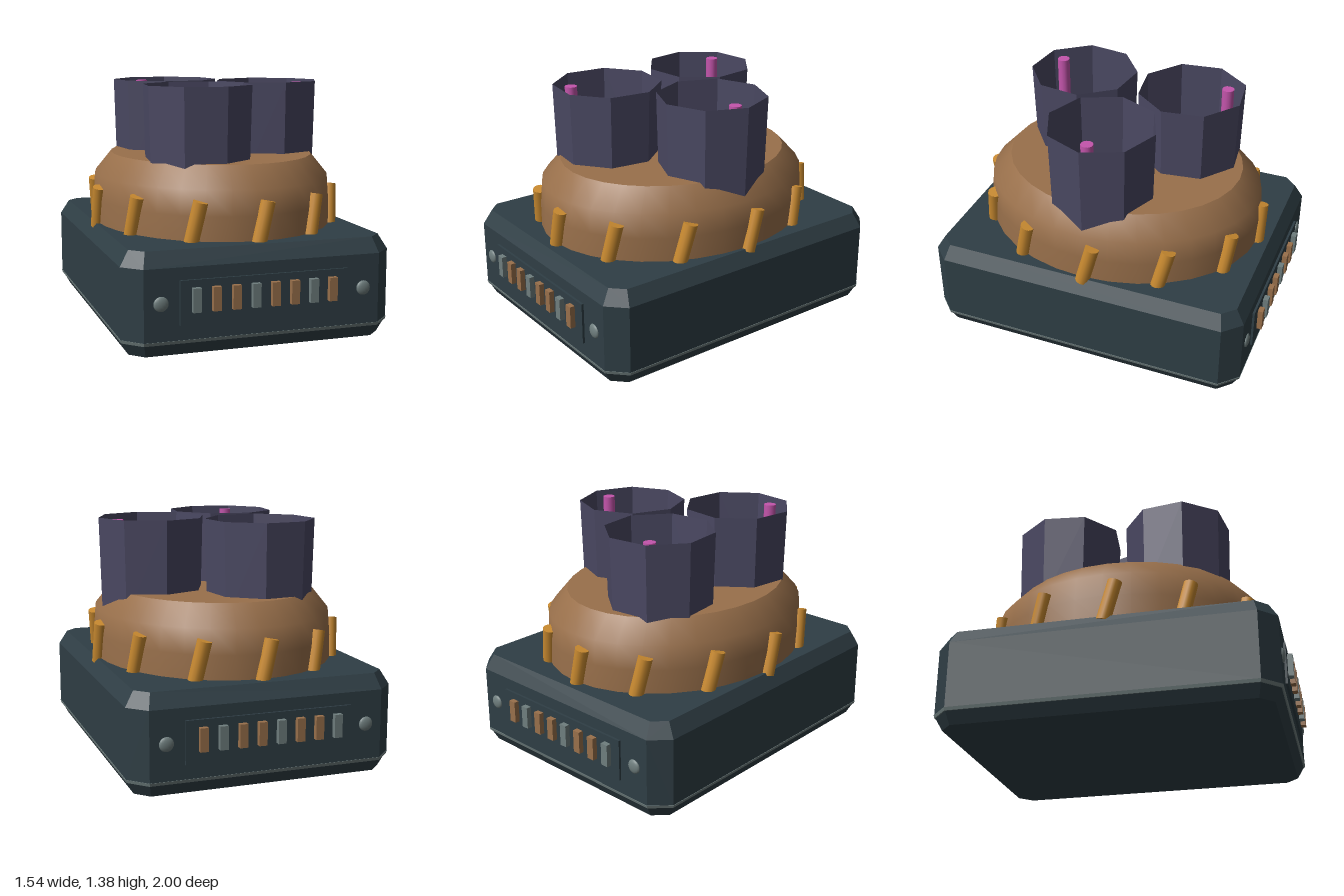
import * as THREE from 'three';
import { ConvexGeometry } from 'three/addons/geometries/ConvexGeometry.js';

const mat = (name, color, opts = {}) => {
  const m = new THREE.MeshStandardMaterial({ color, ...opts });
  m.name = name;
  return m;
};

// Rectangle with cut corners at height y, shrunk by inset
function cutRect(y, inset) {
  const hx = 0.767 - inset, hz = 0.957 - inset, c = 0.1 - inset * 0.586;
  const pts = [];
  for (const sx of [-1, 1]) for (const sz of [-1, 1]) {
    pts.push(new THREE.Vector3(sx * hx, y, sz * (hz - c)));
    pts.push(new THREE.Vector3(sx * (hx - c), y, sz * hz));
  }
  return pts;
}

export function createModel() {
  const root = new THREE.Group();
  const body = mat('dark slate', 0x2f3e45);
  const copper = mat('copper brown', 0x99704b);
  const amber = mat('amber', 0xc98a30);
  const violet = mat('dusky violet', 0x4a4862, { side: THREE.DoubleSide });
  const pink = mat('pink', 0xc455ac);
  const grey = mat('steel grey', 0x6f7e7e);

  const add = (name, geo, material, x = 0, y = 0, z = 0) => {
    const m = new THREE.Mesh(geo, material);
    m.name = name;
    m.position.set(x, y, z);
    root.add(m);
    return m;
  };

  // Bevelled base and the pale strip around its foot
  add('base', new ConvexGeometry([
    ...cutRect(0, 0.045), ...cutRect(0.085, 0), ...cutRect(0.478, 0), ...cutRect(0.562, 0.05),
  ]), body);
  add('trimStrip', new ConvexGeometry([...cutRect(0.07, 0.002), ...cutRect(0.088, -0.003)]), grey);

  // Panels, terminal bars and bolts on front and back
  const panelGeo = new THREE.BoxGeometry(0.95, 0.24, 0.04);
  const barGeo = new THREE.BoxGeometry(0.046, 0.13, 0.05);
  const boltGeo = new THREE.SphereGeometry(0.041, 16, 10).scale(1, 1, 0.4);
  for (const s of [1, -1]) {
    add('panel', panelGeo, body, 0, 0.29, s * 0.95);
    for (let i = 0; i < 8; i++) {
      add('terminalBar', barGeo, i % 3 === 0 ? grey : copper, -0.39 + i * 0.11, 0.305, s * 0.975);
    }
    for (const sx of [1, -1]) add('bolt', boltGeo, grey, sx * 0.575, 0.29, s * 0.957);
  }

  // Oval dome: smooth wall with a flat lid
  const RX = 0.7, RZ = 0.835;
  const wall = [[1, 0.54], [1, 0.7], [0.985, 0.84], [0.845, 0.963]].map(p => new THREE.Vector2(...p));
  add('domeWall', new THREE.LatheGeometry(wall, 32).scale(RX, 1, RZ), copper);
  add('domeLid', new THREE.CircleGeometry(0.845, 32).rotateX(-Math.PI / 2).scale(RX, 1, RZ), copper, 0, 0.963, 0);

  // Slanted pegs around the dome
  const up = new THREE.Vector3(0, 1, 0);
  const onOval = (deg, y) => {
    const a = THREE.MathUtils.degToRad(deg);
    return new THREE.Vector3(Math.sin(a) * RX, y, Math.cos(a) * RZ);
  };
  for (let i = 0; i < 12; i++) {
    const a = onOval(i * 30 + 0.5, 0.54), b = onOval(i * 30 + 5, 0.78);
    const dir = b.clone().sub(a);
    const mid = a.clone().add(b).multiplyScalar(0.5);
    const peg = add('peg', new THREE.CylinderGeometry(0.042, 0.042, dir.length(), 12), amber, mid.x, mid.y, mid.z);
    peg.quaternion.setFromUnitVectors(up, dir.normalize());
  }

  // Three open octagonal cups, each with a rod near its outer wall
  const cupGeo = new THREE.CylinderGeometry(0.318, 0.304, 0.56, 8, 1, true).rotateY(Math.PI / 2).toNonIndexed();
  cupGeo.computeVertexNormals();
  const rodGeo = new THREE.CylinderGeometry(0.036, 0.036, 0.47, 12);
  const cups = [[0.366, 0, 0, 0.571, 0], [-0.185, 0.34, -120, -0.287, 0.525], [-0.185, -0.34, 120, -0.287, -0.525]];
  for (const [x, z, turn, rx, rz] of cups) {
    add('cup', cupGeo, violet, x, 1.104, z).rotation.y = THREE.MathUtils.degToRad(turn);
    add('rod', rodGeo, pink, rx, 1.135, rz);
  }
  return root;
}
